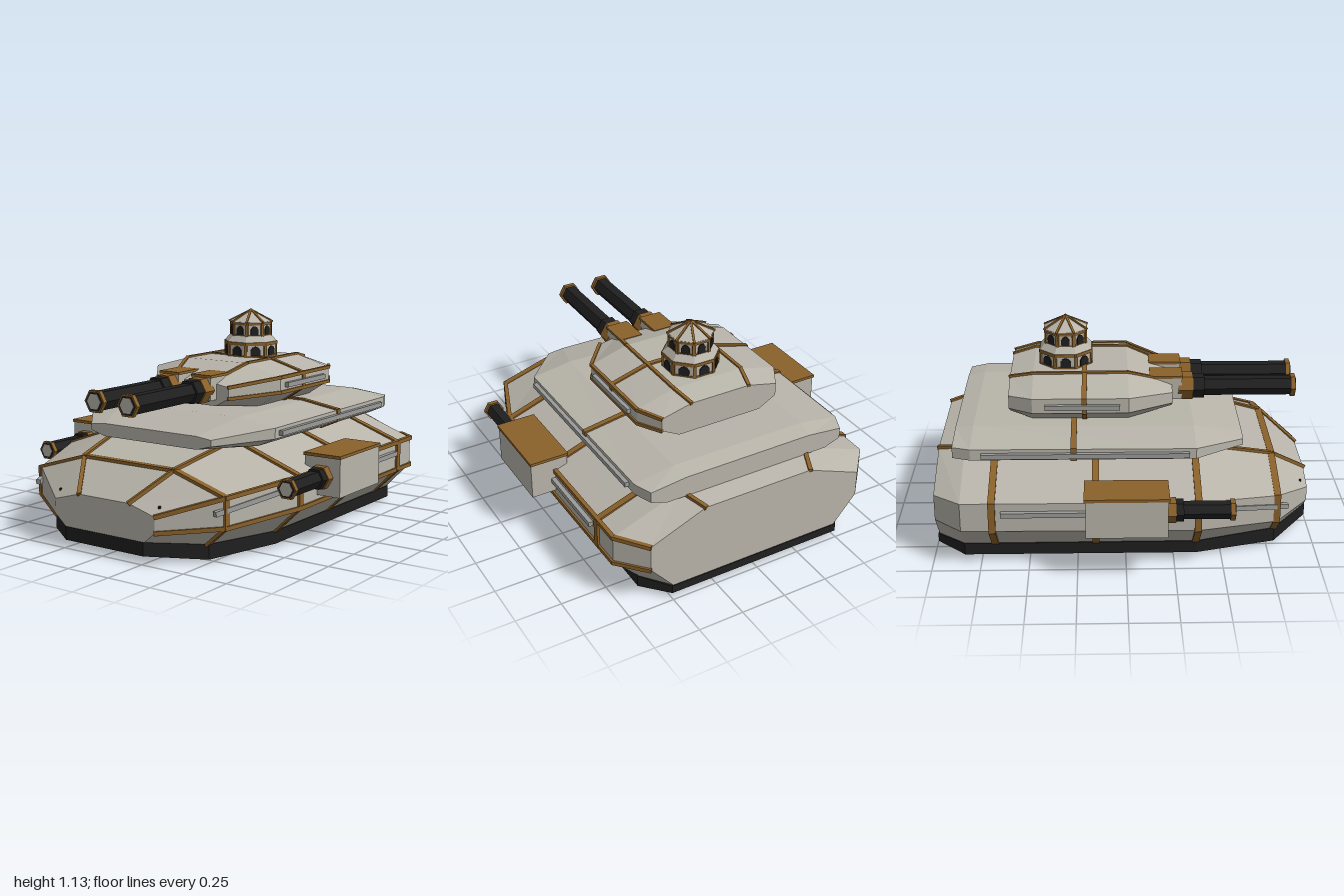
import * as THREE from 'three';

const paint = (name, color) => Object.assign(new THREE.MeshStandardMaterial({ color }), { name });
const grey = paint('warm grey armour', 0xb8b4aa);
const steel = paint('steel rail', 0x9b9b99);
const bronze = paint('bronze trim', 0x8a612a);
const black = paint('black', 0x1f1f1f);

function add(parent, name, geo, mat, x = 0, y = 0, z = 0) {
  const m = new THREE.Mesh(geo, mat);
  m.name = name;
  m.position.set(x, y, z);
  parent.add(m);
  return m;
}

function faceted(geo) {
  const g = geo.index ? geo.toNonIndexed() : geo;
  g.computeVertexNormals();
  return g;
}

// Closed symmetric outline from the +x half, listed top to bottom
const outline = ([z, ...half]) => [
  ...half.map(([x, y]) => new THREE.Vector3(x, y, z)),
  ...half.slice().reverse().map(([x, y]) => new THREE.Vector3(-x, y, z)),
];

// Faceted solid through sections ordered front to back
function loft(sections) {
  const rings = sections.map(outline), n = rings[0].length, pts = [];
  for (let i = 0; i + 1 < rings.length; i++) {
    const a = rings[i], b = rings[i + 1];
    for (let j = 0; j < n; j++) {
      const k = (j + 1) % n;
      pts.push(a[j], a[k], b[k], a[j], b[k], b[j]);
    }
  }
  const f = rings[0], r = rings[rings.length - 1];
  for (let j = 1; j + 1 < n; j++) pts.push(f[0], f[j + 1], f[j], r[0], r[j], r[j + 1]);
  const g = new THREE.BufferGeometry().setFromPoints(pts);
  g.computeVertexNormals();
  return g;
}

// Rectangular bar from a to b, its wide side kept along "up"
function bar(parent, name, a, b, thick, wide, up, mat = bronze) {
  const g = new THREE.BoxGeometry(thick, wide, a.distanceTo(b) + 0.008);
  const m = add(parent, name, g, mat);
  m.position.copy(a).add(b).multiplyScalar(0.5);
  m.up.copy(up);
  m.lookAt(b);
}

const Y = new THREE.Vector3(0, 1, 0), Z = new THREE.Vector3(0, 0, 1);

// Trim along the two top edges and the left shoulder and waist edges
function edgeTrim(parent, sections, size) {
  const rings = sections.map(outline);
  for (const j of [0, 1, 2, 7])
    for (let i = 0; i + 1 < rings.length; i++)
      bar(parent, 'edgeTrim', rings[i][j], rings[i + 1][j], size, size, Y);
}

// Trim band wrapped round a section, open underneath
function bandTrim(parent, section, z, thick, wide) {
  const p = outline([z, ...section.slice(1)]);
  for (let j = 0; j < 8; j++)
    if (j !== 3) bar(parent, 'bandTrim', p[j], p[(j + 1) % 8], thick, wide, Z);
}

function rail(parent, a, b) {
  for (const s of [1, -1])
    bar(parent, 'rail', new THREE.Vector3(s * a[0], a[1], a[2]),
      new THREE.Vector3(s * b[0], b[1], b[2]), 0.024, 0.026, Y, steel);
}

// Six-sided rod along z
function hex(parent, name, r, z0, z1, mat) {
  const g = new THREE.CylinderGeometry(r, r, z1 - z0, 6).rotateY(Math.PI / 6).rotateX(Math.PI / 2);
  add(parent, name, faceted(g), mat, 0, 0, (z0 + z1) / 2);
}

function gun(parent, name, x, y, z0, length, r, collar) {
  const g = new THREE.Group();
  g.name = name;
  g.position.set(x, y, z0);
  parent.add(g);
  hex(g, 'collar', r * 1.4, -0.02, collar, bronze);
  hex(g, 'sleeve', r * 1.25, collar, collar * 2, black);
  hex(g, 'barrel', r, collar * 2, length - 0.01, black);
  hex(g, 'muzzleRing', r * 1.2, length - 0.025, length, bronze);
  hex(g, 'muzzleLip', r * 1.02, length, length + 0.002, black);
  hex(g, 'bore', r * 0.82, length + 0.002, length + 0.004, grey);
}

// One eight-sided storey with arched windows and corner posts
function storey(parent, r, y0, y1) {
  const h = y1 - y0, apothem = r * Math.cos(Math.PI / 8), w = r * 0.19;
  const ring = (name, rad, hh, mat, y) =>
    add(parent, name, faceted(new THREE.CylinderGeometry(rad, rad, hh, 8).rotateY(Math.PI / 8)), mat, 0, y, 0);
  ring('storeyWall', r, h, grey, (y0 + y1) / 2);
  ring('sillBand', r + 0.004, 0.012, bronze, y0 + 0.006);
  ring('headBand', r + 0.006, 0.018, bronze, y1 - 0.009);
  const arch = new THREE.Shape();
  arch.moveTo(-w, 0);
  arch.lineTo(w, 0);
  arch.lineTo(w, h * 0.38);
  arch.lineTo(w * 0.55, h * 0.56);
  arch.lineTo(0, h * 0.62);
  arch.lineTo(-w * 0.55, h * 0.56);
  arch.lineTo(-w, h * 0.38);
  const windowGeo = new THREE.ExtrudeGeometry(arch, { depth: 0.006, bevelEnabled: false });
  for (let i = 0; i < 8; i++) {
    const a = i * Math.PI / 4, c = a + Math.PI / 8;
    const win = add(parent, 'window', windowGeo, black, Math.sin(a) * apothem, y0 + 0.01, Math.cos(a) * apothem);
    win.rotation.y = a;
    const post = add(parent, 'cornerPost', new THREE.BoxGeometry(0.018, h, 0.012), bronze,
      Math.sin(c) * r * 0.985, (y0 + y1) / 2, Math.cos(c) * r * 0.985);
    post.rotation.y = c;
  }
}

export function createModel() {
  const model = new THREE.Group();
  model.name = 'armouredVehicle';

  // Skirt and belly plate
  const skirt = [
    [0.99, [0.25, 0.11], [0.25, 0.04]],
    [0.79, [0.5, 0.095], [0.5, 0.018]],
    [0.37, [0.615, 0.085], [0.615, 0.018]],
    [-0.84, [0.615, 0.082], [0.615, 0.018]],
    [-0.99, [0.5, 0.08], [0.5, 0.035]],
  ];
  add(model, 'skirt', loft(skirt), black);
  const belly = [[0.8, 0.2], [0.72, 0.4], [0.37, 0.525], [-0.83, 0.525]];
  add(model, 'bellyPlate', loft(belly.map(([z, x]) => [z, [x, 0.025], [x, 0]])), grey);

  // Hull
  const hull = [
    [0.985, [0.16, 0.29], [0.32, 0.245], [0.32, 0.165], [0.25, 0.105]],
    [0.79, [0.29, 0.435], [0.6, 0.34], [0.6, 0.19], [0.49, 0.09]],
    [0.37, [0.36, 0.525], [0.755, 0.385], [0.755, 0.225], [0.605, 0.08]],
    [-0.84, [0.37, 0.525], [0.75, 0.385], [0.75, 0.23], [0.605, 0.078]],
    [-0.985, [0.31, 0.495], [0.62, 0.37], [0.62, 0.23], [0.49, 0.078]],
  ];
  add(model, 'hull', loft(hull), grey);
  edgeTrim(model, hull, 0.022);
  bandTrim(model, hull[1], 0.785, 0.016, 0.036);
  for (const z of [0.365, -0.155, -0.68]) bandTrim(model, hull[2], z, 0.016, 0.036);
  rail(model, [0.765, 0.33, 0.2], [0.765, 0.33, -0.63]);
  rail(model, [0.575, 0.268, 0.84], [0.745, 0.34, 0.39]);
  for (const s of [1, -1]) add(model, 'hullStud', new THREE.BoxGeometry(0.01, 0.012, 0.01), black, s * 0.32, 0.285, 0.945);

  // Middle deck
  const deck = [
    [0.62, [0.3, 0.578], [0.39, 0.568], [0.39, 0.535], [0.3, 0.51]],
    [0.36, [0.38, 0.645], [0.6, 0.612], [0.6, 0.556], [0.5, 0.51]],
    [-0.79, [0.38, 0.65], [0.6, 0.615], [0.6, 0.556], [0.5, 0.512]],
    [-0.885, [0.36, 0.632], [0.56, 0.61], [0.56, 0.552], [0.47, 0.52]],
  ];
  add(model, 'deck', loft(deck), grey);
  bandTrim(model, deck[2], -0.265, 0.014, 0.03);
  rail(model, [0.61, 0.582, 0.32], [0.61, 0.582, -0.73]);

  // Turret
  const turret = [
    [0.255, [0.13, 0.79], [0.24, 0.77], [0.24, 0.71], [0.16, 0.665]],
    [0.02, [0.2, 0.87], [0.412, 0.81], [0.412, 0.73], [0.28, 0.645]],
    [-0.48, [0.2, 0.868], [0.412, 0.81], [0.412, 0.73], [0.28, 0.645]],
    [-0.605, [0.17, 0.84], [0.34, 0.8], [0.34, 0.73], [0.24, 0.675]],
  ];
  add(model, 'turret', loft(turret), grey);
  edgeTrim(model, turret, 0.018);
  bandTrim(model, turret[1], -0.21, 0.014, 0.026);
  rail(model, [0.42, 0.766, -0.03], [0.42, 0.766, -0.41]);

  // Turret guns and side guns, each on a lidded mount
  for (const s of [1, -1]) {
    add(model, 'turretMount', new THREE.BoxGeometry(0.12, 0.12, 0.17), grey, s * 0.105, 0.76, 0.225);
    add(model, 'turretMountLid', new THREE.BoxGeometry(0.13, 0.014, 0.175), bronze, s * 0.105, 0.827, 0.225);
    gun(model, 'turretGun', s * 0.105, 0.755, 0.31, 0.61, 0.053, 0.06);
    add(model, 'sponson', new THREE.BoxGeometry(0.206, 0.2, 0.41), grey, s * 0.785, 0.36, 0);
    add(model, 'sponsonLid', new THREE.BoxGeometry(0.215, 0.016, 0.425), bronze, s * 0.785, 0.468, 0);
    gun(model, 'sideGun', s * 0.785, 0.36, 0.21, 0.335, 0.046, 0.038);
  }

  // Lookout cupola
  const cupola = new THREE.Group();
  cupola.name = 'cupola';
  cupola.position.z = -0.31;
  model.add(cupola);
  storey(cupola, 0.147, 0.865, 0.95);
  const eave = new THREE.CylinderGeometry(0.118, 0.15, 0.036, 8).rotateY(Math.PI / 8);
  add(cupola, 'lowerRoof', faceted(eave), grey, 0, 0.967, 0);
  storey(cupola, 0.115, 0.978, 1.06);
  const cone = new THREE.ConeGeometry(0.125, 0.066, 8).rotateY(Math.PI / 8);
  add(cupola, 'upperRoof', faceted(cone), grey, 0, 1.09, 0);

  // Roof ribs, laid in model space so that bars can be aimed
  for (let i = 0; i < 8; i++) {
    const a = (i + 0.5) * Math.PI / 4;
    bar(model, 'roofRib', new THREE.Vector3(Math.sin(a) * 0.122, 1.06, Math.cos(a) * 0.122 - 0.31),
      new THREE.Vector3(0, 1.122, -0.31), 0.012, 0.01, Y);
  }
  return model;
}
